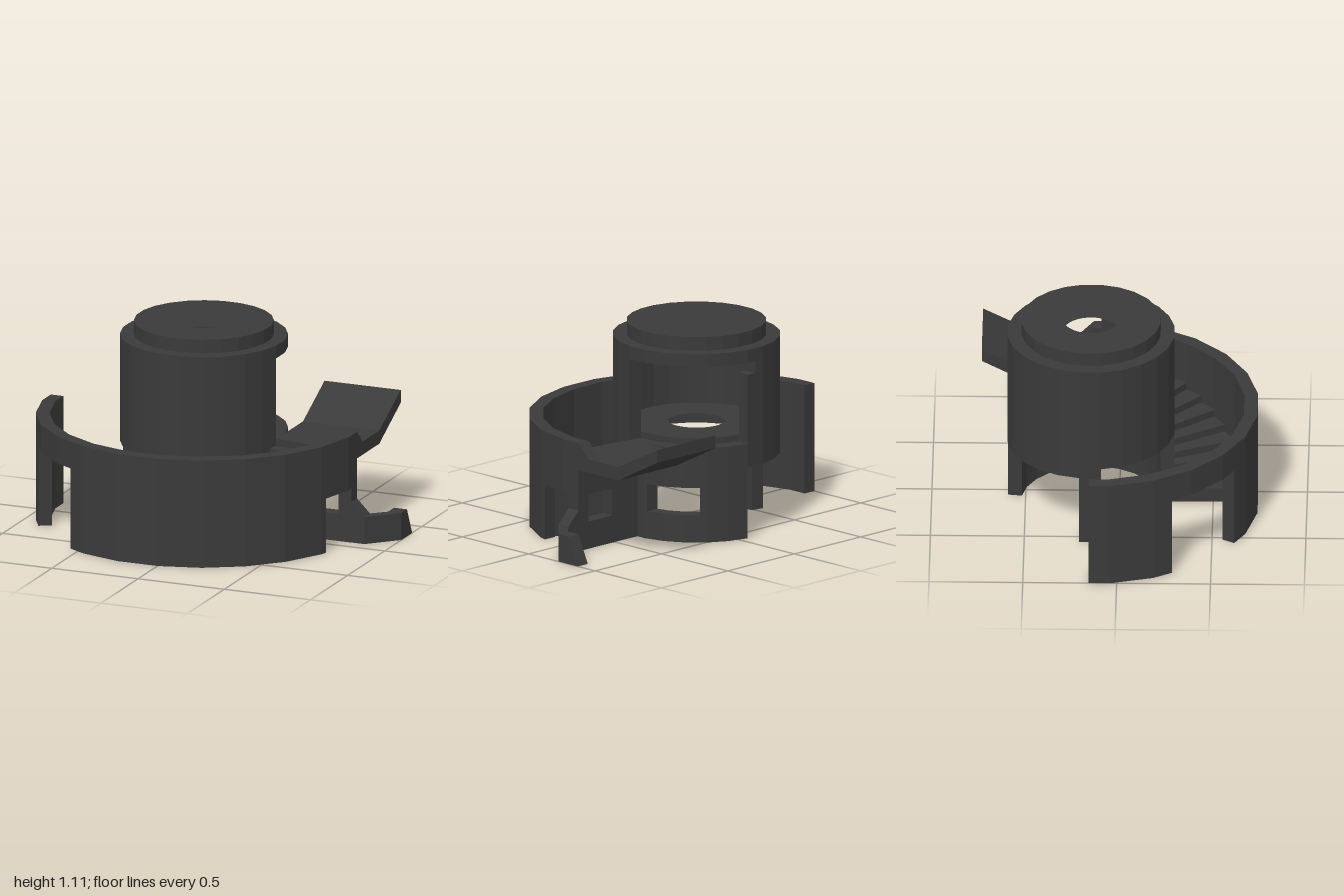
import * as THREE from 'three';

const CX = -0.1125, CZ = -0.15, D = Math.PI / 180;
const mat = new THREE.MeshStandardMaterial({ color: 0x3a3a3a, flatShading: true });

// point on a 24-sided ring with the given apothem; angle runs from +x towards +z
function ringPoint(apothem, deg) {
  const off = deg - Math.round(deg / 15) * 15;
  const r = apothem / Math.cos(off * D);
  return new THREE.Vector2(r * Math.cos(deg * D), -r * Math.sin(deg * D));
}

function arc(apothem, a0, a1) {
  const pts = [ringPoint(apothem, a0)];
  for (let a = -352.5; a < 360; a += 15) if (a > a0 + 0.01 && a < a1 - 0.01) pts.push(ringPoint(apothem, a));
  pts.push(ringPoint(apothem, a1));
  return pts;
}

// extrude a plan shape (x, -z) upward from y0 to y1
function raise(shape, y0, y1) {
  const g = new THREE.ExtrudeGeometry(shape, { depth: y1 - y0, bevelEnabled: false, curveSegments: 24 });
  g.rotateX(-Math.PI / 2);
  g.translate(0, y0, 0);
  return g;
}

export function createModel() {
  const model = new THREE.Group();
  const add = (name, geometry, parent = model) => {
    const m = new THREE.Mesh(geometry, mat);
    m.name = name;
    parent.add(m);
  };
  const group = (name, centred = true) => {
    const g = new THREE.Group();
    g.name = name;
    if (centred) g.position.set(CX, 0, CZ);
    model.add(g);
    return g;
  };
  // b0 and b1 are the inner angles, for jambs that are not radial
  const sector = (name, parent, r0, r1, y0, y1, a0, a1, b0 = a0, b1 = a1) =>
    add(name, raise(new THREE.Shape([...arc(r1, a0, a1), ...arc(r0, b0, b1).reverse()]), y0, y1), parent);
  const disk = (name, parent, r, hole, y0, y1) => {
    const s = new THREE.Shape(arc(r, 0, 360).slice(0, -1));
    s.holes.push(new THREE.Path().absarc(0, 0, hole, 0, Math.PI * 2, true));
    add(name, raise(s, y0, y1), parent);
  };

  // outer half-round wall with a left gateway and a right doorway
  const wall = group('outerWall');
  for (const [y0, ...angles] of [
    [0, 0, 4.9, 0, 5.3], [0.3, 4.9, 19.8, 5.3, 21.6], [0, 19.8, 120, 21.6, 120], [0.445, 120, 150], [0, 150, 180],
  ]) sector('wallSection', wall, 0.815, 0.8875, y0, 0.595, ...angles);

  // central tower: lower wall with a window, one leg, and an upper drum open at the back right
  const tower = group('tower');
  const RI = 0.37, RO = 0.444;
  for (const [y0, y1, ...angles] of [
    [0, 0.52, -82.5, -47.5, -82.5, -54], [0, 0.15, -47.5, -9, -54, -10.9], [0.3, 0.52, -47.5, -9, -54, -10.9],
    [0, 0.52, -9, 7.5, -10.9, 7.5], [0, 0.967, 7.5, 90], [0.445, 0.967, 90, 172.5], [0, 0.967, 172.5, 187.5],
    [0.39, 0.967, 187.5, 270], [0.39, 0.9, 270, 277.5],
  ]) sector('towerWall', tower, RI, RO, y0, y1, ...angles);
  disk('towerFloor', tower, RI, 0.15, 0.45, 0.555);
  disk('towerCeiling', tower, RO, 0.15, 0.967, 1.037);
  disk('towerCap', tower, RI, 0.15, 1.037, 1.112);

  // winding steps between tower and wall, solid below except over the doorway closet
  const stairs = group('stairs');
  const n = 12, sweep = 90 / n;
  for (let i = 0; i < n; i++) {
    const a0 = i * sweep, a1 = a0 + sweep;
    const p = (r, a) => new THREE.Vector2(r * Math.cos(a * D), -r * Math.sin(a * D));
    const s = new THREE.Shape([p(0.43, a0), p(0.816, a0), p(0.816, a1), p(0.43, a1)]);
    add('step', raise(s, i < 3 ? 0.3 : 0, 0.52 - i * 0.04), stairs);
  }

  // landing with upturned ramp: side profile (-z, y) pushed across x
  const across = (pts, x0, x1) => {
    const s = new THREE.Shape(pts.map(([z, y]) => new THREE.Vector2(-z, y)));
    const g = new THREE.ExtrudeGeometry(s, { depth: x1 - x0, bevelEnabled: false });
    g.rotateY(Math.PI / 2);
    g.translate(x0, 0, 0);
    return g;
  };
  add('landingRamp', across([[-0.15, 0.447], [-0.45, 0.447], [-0.74, 0.597], [-0.74, 0.667], [-0.45, 0.52], [-0.15, 0.52]], 0.333, 0.775));
  add('landingCurb', across([[-0.15, 0.52], [-0.225, 0.52], [-0.15, 0.595]], 0.7, 0.775));

  // panel under the landing with a square window
  const panel = new THREE.Shape();
  panel.moveTo(0.325, 0).lineTo(0.77, 0).lineTo(0.77, 0.45).lineTo(0.325, 0.45).closePath();
  panel.holes.push(new THREE.Path([[0.52, 0.15], [0.52, 0.3], [0.7, 0.3], [0.7, 0.15]].map(p => new THREE.Vector2(...p))));
  const panelGeo = new THREE.ExtrudeGeometry(panel, { depth: 0.074, bevelEnabled: false });
  panelGeo.translate(0, 0, -0.149);
  add('windowPanel', panelGeo);

  // low hooked arm on the right, with a sloping brace and a slanted end
  const arm = group('hookArm', false);
  const plan = [[0.725, -0.076], [0.85, -0.076], [1, -0.225], [1, -0.3], [0.925, -0.3], [0.925, -0.22], [0.85, -0.15], [0.725, -0.15]];
  add('armBar', raise(new THREE.Shape(plan.map(([x, z]) => new THREE.Vector2(x, -z))), 0, 0.15), arm);
  add('armEnd', across([[-0.3, 0], [-0.37, 0], [-0.3, 0.15]], 0.925, 1), arm);
  const brace = new THREE.Shape([[0.76, 0.15], [0.85, 0.15], [0.775, 0.225], [0.76, 0.225]].map(p => new THREE.Vector2(...p)));
  const braceGeo = new THREE.ExtrudeGeometry(brace, { depth: 0.074, bevelEnabled: false });
  braceGeo.translate(0, 0, -0.15);
  add('armBrace', braceGeo, arm);

  return model;
}
